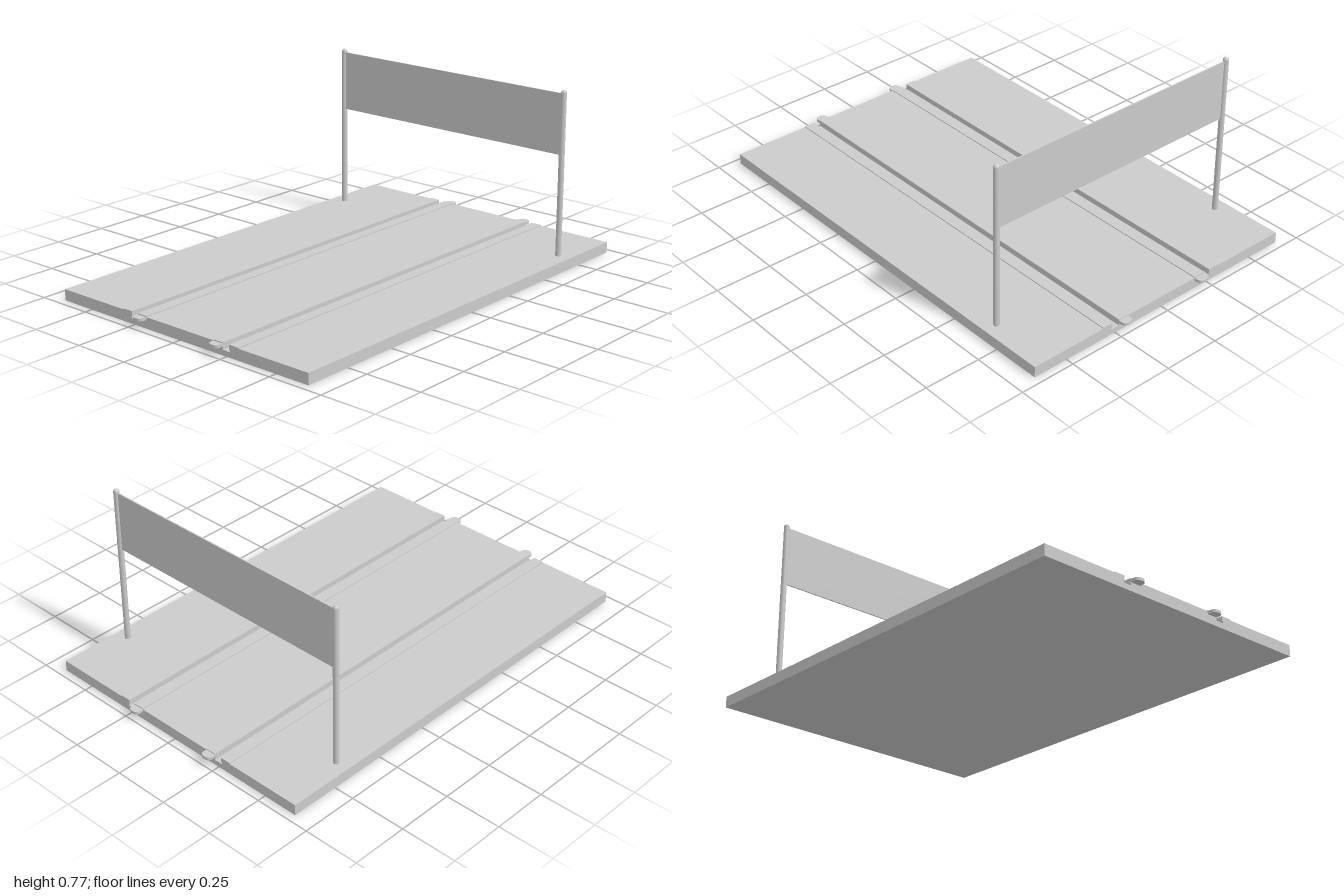
import * as THREE from 'three';

const grey = () => new THREE.MeshStandardMaterial({ color: 0xcccccc });
const BASE_TOP = 0.048, HALF_X = 0.66, HALF_Z = 0.965;

function add(parent, name, geometry, x = 0, y = 0, z = 0) {
  const mesh = new THREE.Mesh(geometry, grey());
  mesh.name = name;
  mesh.position.set(x, y, z);
  parent.add(mesh);
  return mesh;
}

// Box given by its limits on x and y, centred on z
function bar(parent, name, x0, x1, y0, y1, depth) {
  return add(parent, name, new THREE.BoxGeometry(x1 - x0, y1 - y0, depth), (x0 + x1) / 2, (y0 + y1) / 2, 0);
}

// Slab with two stepped channels running front to back
function baseGeometry() {
  const half = [
    [0.183, BASE_TOP], [0.183, 0.03], [0.23, 0.03], [0.23, 0.023],
    [0.268, 0.023], [0.268, 0.03], [0.312, 0.03], [0.312, BASE_TOP],
    [HALF_X, BASE_TOP], [HALF_X, 0],
  ];
  const mirrored = half.map(([x, y]) => [-x, y]).reverse();
  const shape = new THREE.Shape([...mirrored, ...half].map(([x, y]) => new THREE.Vector2(x, y)));
  const geometry = new THREE.ExtrudeGeometry(shape, { depth: 2 * HALF_Z, bevelEnabled: false });
  return geometry.translate(0, 0, -HALF_Z);
}

// Flat tongue with rounded ends, longer than the slab
function tongueGeometry(width, length, thickness) {
  const w = width / 2, l = length / 2, r = w * 0.95;
  const shape = new THREE.Shape();
  shape.moveTo(-w, -l + r);
  shape.quadraticCurveTo(-w, -l, 0, -l);
  shape.quadraticCurveTo(w, -l, w, -l + r);
  shape.lineTo(w, l - r);
  shape.quadraticCurveTo(w, l, 0, l);
  shape.quadraticCurveTo(-w, l, -w, l - r);
  const geometry = new THREE.ExtrudeGeometry(shape, { depth: thickness, bevelEnabled: false, curveSegments: 8 });
  return geometry.rotateX(-Math.PI / 2);
}

// Round post with a domed top
function postGeometry(radius, bottom, top) {
  const points = [new THREE.Vector2(0, bottom), new THREE.Vector2(radius, bottom)];
  for (let i = 0; i <= 6; i++) {
    const a = (i / 6) * Math.PI / 2;
    points.push(new THREE.Vector2(radius * Math.cos(a), top - radius + radius * Math.sin(a)));
  }
  return new THREE.LatheGeometry(points, 20);
}

export function createModel() {
  const model = new THREE.Group();
  model.name = 'trackWithBanner';
  add(model, 'baseSlab', baseGeometry());

  // Rails, one pair on each side
  for (const side of [-1, 1]) {
    const rails = new THREE.Group();
    rails.name = side > 0 ? 'leftRails' : 'rightRails';
    model.add(rails);
    const span = (a, b) => (side > 0 ? [a, b] : [-b, -a]);
    bar(rails, 'innerRail', ...span(0.183, 0.232), 0.03, 0.052, 2 * HALF_Z);
    bar(rails, 'outerRail', ...span(0.264, 0.312), 0.03, 0.052, 2 * HALF_Z);
    add(rails, 'railTongue', tongueGeometry(0.049, 2, 0.012), side * 0.2075, 0.036, 0);
  }

  // Banner hung between two posts
  const gantry = new THREE.Group();
  gantry.name = 'gantry';
  gantry.position.z = -0.68;
  model.add(gantry);
  for (const side of [-1, 1]) {
    add(gantry, side > 0 ? 'leftPost' : 'rightPost', postGeometry(0.0125, 0.03, 0.77), side * 0.6);
  }
  bar(gantry, 'banner', -0.598, 0.598, 0.49, 0.754, 0.006);
  return model;
}
